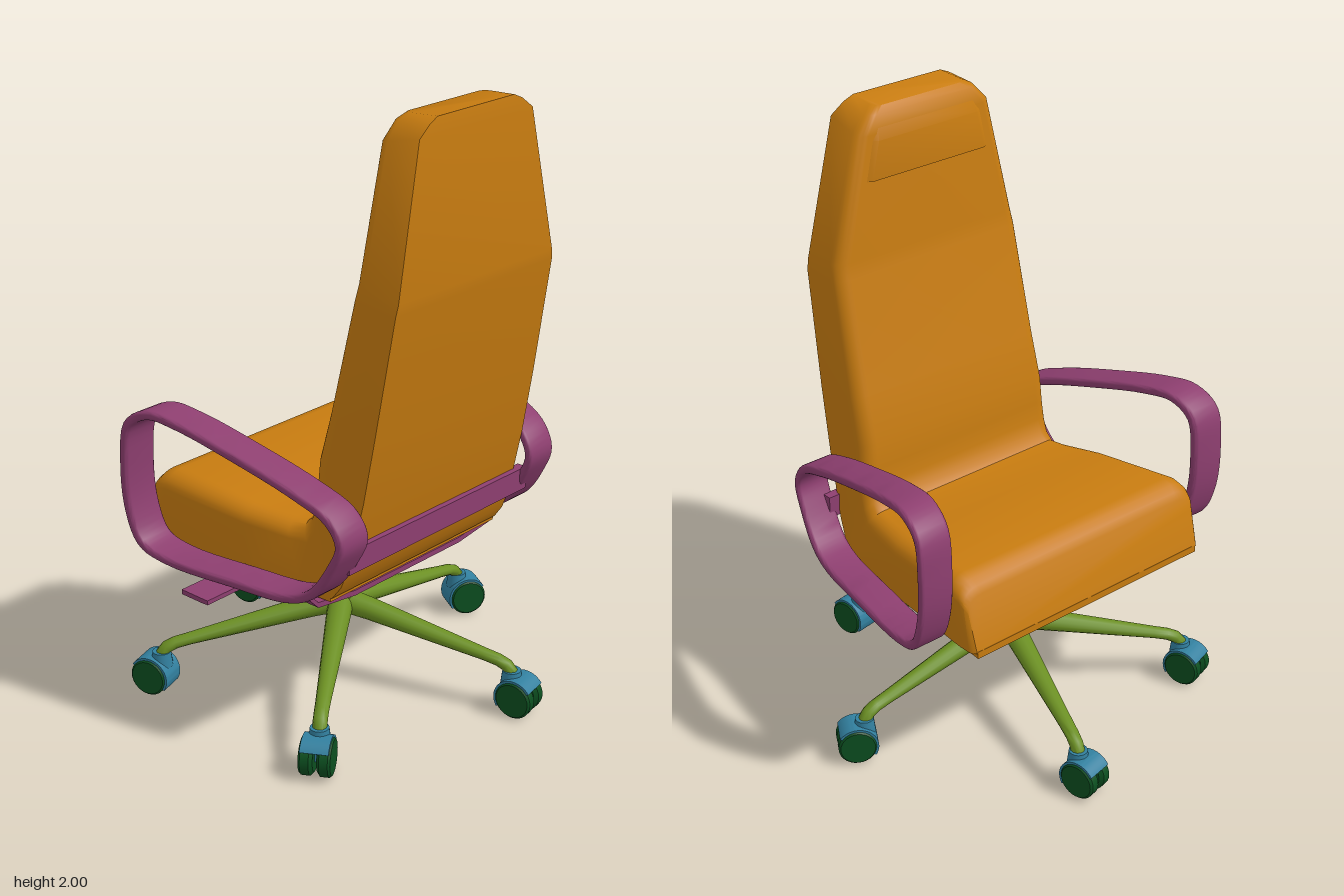
import * as THREE from 'three';
import { toCreasedNormals } from 'three/addons/utils/BufferGeometryUtils.js';

const V = (x, y, z) => new THREE.Vector3(x, y, z);
const mat = (color) => new THREE.MeshStandardMaterial({ color });
const CX = -0.028; // middle of the seat
const BX = -0.035; // middle of the base

// Closed skin over rings that run counter-clockwise about the direction of travel
function loft(rings, crease = 0.6) {
  const n = rings[0].length, pos = [], idx = [];
  rings.forEach((r) => r.forEach((p) => pos.push(p.x, p.y, p.z)));
  for (let i = 0; i < rings.length - 1; i++) {
    for (let j = 0; j < n; j++) {
      const a = i * n + j, b = i * n + ((j + 1) % n);
      idx.push(a, b, a + n, b, b + n, a + n);
    }
  }
  const e = (rings.length - 1) * n;
  for (let j = 1; j < n - 1; j++) idx.push(0, j + 1, j, e, e + j, e + j + 1);
  const g = new THREE.BufferGeometry();
  g.setAttribute('position', new THREE.Float32BufferAttribute(pos, 3));
  g.setIndex(idx);
  return toCreasedNormals(g, crease);
}

// Flat strip that follows a line in the x-y plane
function ribbon(points, thick, depth) {
  const low = points.map(([x, y]) => [x, y - thick]).reverse();
  const s = new THREE.Shape([...points, ...low].map(([x, y]) => new THREE.Vector2(x, y)));
  return new THREE.ExtrudeGeometry(s, { depth, bevelEnabled: false });
}

function shear(g, rule) {
  const p = g.attributes.position, v = V(0, 0, 0);
  for (let i = 0; i < p.count; i++) {
    rule(v.fromBufferAttribute(p, i));
    p.setXYZ(i, v.x, v.y, v.z);
  }
  g.computeVertexNormals();
  return g;
}

export function createModel() {
  const model = new THREE.Group();
  const fabric = mat(0xc87c10), purple = mat(0x8e3f70), green = mat(0x6b8f22);
  const blue = mat(0x32809f), darkGreen = mat(0x0c4f20);
  const add = (parent, name, geo, material, x = 0, y = 0, z = 0) => {
    const m = new THREE.Mesh(geo, material);
    m.name = name;
    m.position.set(x, y, z);
    parent.add(m);
    return m;
  };

  // Seat and back in one: front z, y / rear z, y / half width
  const sections = [
    [-0.372, 0.735, -0.418, 0.565, 0.468],
    [-0.358, 0.758, -0.41, 0.563, 0.476],
    [-0.338, 0.776, -0.395, 0.562, 0.48],
    [-0.3, 0.785, -0.35, 0.56, 0.48],
    [0, 0.752, 0, 0.547, 0.448],
    [0.14, 0.736, 0.2, 0.537, 0.41],
    [0.185, 0.738, 0.312, 0.53, 0.396],
    [0.208, 0.765, 0.345, 0.575, 0.391],
    [0.22, 0.81, 0.37, 0.64, 0.388],
    [0.225, 0.87, 0.394, 0.74, 0.384],
    [0.23, 0.96, 0.424, 0.87, 0.38],
    [0.27, 1.11, 0.462, 1.08, 0.375],
    [0.353, 1.475, 0.526, 1.465, 0.363],
    [0.364, 1.53, 0.53, 1.5, 0.356],
    [0.366, 1.92, 0.515, 1.95, 0.257],
    [0.376, 1.975, 0.512, 1.985, 0.21],
    [0.392, 1.994, 0.51, 2, 0.175],
  ];
  const half = [[1, 0]];
  for (let k = 0; k <= 6; k++) {
    const a = (k / 6) * Math.PI / 2;
    half.push([1 - 0.13 * (1 - Math.cos(a)), 0.75 + 0.25 * Math.sin(a)]);
  }
  const outline = [...half, ...half.map(([u, t]) => [-u, t]).reverse()];
  const shell = sections.map(([fz, fy, bz, by, w]) => outline.map(([u, t]) =>
    V(CX + u * (w - (t === 0 ? 0.005 : 0)), by + (fy - by) * t, bz + (fz - bz) * t)));
  add(model, 'seatAndBack', loft(shell, 0.75), fabric);

  // Head pad on the front of the back, fading into it at the top
  const padRow = (y, w, z) => [[w, 0.02], [w, 0], [w - 0.02, -0.012], [0.02 - w, -0.012], [-w, 0], [-w, 0.02]]
    .map(([x, d]) => V(CX + x, y, z + d));
  add(model, 'headPad', loft([padRow(1.775, 0.24, 0.368), padRow(1.9, 0.212, 0.368), padRow(1.955, 0.2, 0.388)]), fabric);

  // Rim under the seat around a shallow recess
  const rim = new THREE.Shape([[-0.46, -0.418], [0.46, -0.418], [0.39, 0.305], [-0.39, 0.305]]
    .map(([x, z]) => new THREE.Vector2(x, z)));
  rim.holes.push(new THREE.Path([[-0.24, -0.24], [-0.24, 0.2], [0.24, 0.2], [0.24, -0.24]]
    .map(([x, z]) => new THREE.Vector2(x, z))));
  const rimGeo = new THREE.ExtrudeGeometry(rim, { depth: 0.024, bevelEnabled: false }).rotateX(Math.PI / 2);
  shear(rimGeo, (v) => { v.y += 0.552 - 0.04 * v.z; });
  add(model, 'seatRim', rimGeo, fabric, CX);

  // Armrests: closed bands, splayed toward the front of the seat
  const loop = new THREE.CatmullRomCurve3([
    [0.44, 0.78], [0.4, 0.85], [0.28, 0.905], [0.05, 0.975], [-0.14, 1.022], [-0.25, 1.031], [-0.325, 0.985],
    [-0.345, 0.86], [-0.335, 0.7], [-0.29, 0.595], [-0.2, 0.562], [0.05, 0.555], [0.26, 0.562], [0.34, 0.6],
    [0.41, 0.7],
  ].map(([z, y]) => V(-z, y, 0)), true);
  const N = 72;
  const edge = (d) => Array.from({ length: N }, (_, i) => {
    const p = loop.getPoint(i / N), t = loop.getTangent(i / N);
    return new THREE.Vector2(p.x - t.y * d, p.y + t.x * d);
  });
  for (const side of [-1, 1]) {
    const band = new THREE.Shape(edge(0.005).reverse());
    band.holes.push(new THREE.Path(edge(-0.005)));
    const g = new THREE.ExtrudeGeometry(band, {
      depth: 0.096, bevelThickness: 0.012, bevelSize: 0.01, bevelSegments: 3,
    }).translate(0, 0, -0.048).rotateY(Math.PI / 2);
    shear(g, (v) => { v.x += side * (0.51 - 0.15 * v.z); });
    add(model, side < 0 ? 'rightArmrest' : 'leftArmrest', toCreasedNormals(g, 0.7), purple, CX);
  }

  // Bars joining the armrests behind and below the seat
  add(model, 'rearBar', new THREE.BoxGeometry(0.84, 0.075, 0.034), purple, CX, 0.688, 0.393);
  const under = [[-0.455, 0.555], [-0.415, 0.515], [-0.25, 0.493], [0.25, 0.493], [0.415, 0.515], [0.455, 0.555]];
  add(model, 'underBar', ribbon(under, 0.018, 0.08), purple, CX, 0, 0.2);

  // Height lever
  const lever = ribbon([[-0.53, 0.415], [-0.39, 0.415], [-0.17, 0.5], [-0.06, 0.53]], 0.015, 0.05);
  shear(lever, (v) => { v.z += -0.09 + 0.3 * (Math.max(v.x, -0.39) + 0.15); });
  add(model, 'lever', lever, purple);
  add(model, 'leverHandle', new THREE.BoxGeometry(0.14, 0.016, 0.1), purple, -0.46, 0.407, -0.178);

  // Column
  const column = [[0, 0.23], [0.05, 0.24], [0.05, 0.3], [0.068, 0.325], [0.068, 0.385], [0.06, 0.392], [0.044, 0.392],
    [0.044, 0.5], [0.07, 0.512], [0.09, 0.52], [0.09, 0.545], [0, 0.545]].map(([r, y]) => new THREE.Vector2(r, y));
  add(model, 'column', toCreasedNormals(new THREE.LatheGeometry(column, 32), 0.5), green, BX);

  // Star base: radius, height, half width, half height
  const spine = [[0, 0.272, 0.042, 0.042], [0.1, 0.257, 0.04, 0.036], [0.5, 0.181, 0.024, 0.019],
    [0.548, 0.171, 0.023, 0.019], [0.577, 0.158, 0.023, 0.02], [0.592, 0.138, 0.023, 0.021], [0.594, 0.11, 0.023, 0.021]];
  const armRings = spine.map(([r, y, w, h], i) => {
    const a = spine[Math.max(i - 1, 0)], b = spine[Math.min(i + 1, spine.length - 1)];
    const t = new THREE.Vector2(b[0] - a[0], b[1] - a[1]).normalize();
    return Array.from({ length: 12 }, (_, k) => {
      const q = (k / 12) * Math.PI * 2, n = Math.cos(q) * h;
      return V(r - t.y * n, y + t.x * n, Math.sin(q) * w);
    });
  });
  const armGeo = loft(armRings, 0.7);

  // Caster parts, rolling along +x
  const wheelGeo = toCreasedNormals(new THREE.LatheGeometry([[0, -0.022], [0.05, -0.022], [0.0625, -0.012],
    [0.0625, 0.015], [0.056, 0.022], [0, 0.022]].map(([r, y]) => new THREE.Vector2(r, y)), 28), 0.5).rotateX(Math.PI / 2);
  const hood = new THREE.Shape();
  hood.absarc(0, 0, 0.068, 0.6, 3.7, false);
  hood.absarc(0, 0, 0.05, 3.7, 0.6, true);
  const hoodGeo = toCreasedNormals(new THREE.ExtrudeGeometry(hood,
    { depth: 0.09, bevelEnabled: false, curveSegments: 16 }), 0.5).translate(0, 0, -0.045);

  const headings = [[0.85, 0.5], [0.17, 0.98], [-0.85, 0.5], [-0.3, -0.95], [-0.2, -0.97]];
  headings.forEach(([dx, dz], i) => {
    const q = (i / 5) * Math.PI * 2;
    const arm = add(model, 'baseArm', armGeo, green, BX);
    arm.rotation.y = -q;
    const caster = new THREE.Group();
    caster.name = 'caster';
    caster.position.set(BX + Math.cos(q) * 0.594, 0, Math.sin(q) * 0.594);
    caster.rotation.y = -Math.atan2(dz, dx);
    model.add(caster);
    add(caster, 'casterStem', new THREE.CylinderGeometry(0.03, 0.036, 0.05, 20), blue, 0, 0.12, 0);
    add(caster, 'casterHood', hoodGeo, blue, 0.028, 0.0625, 0);
    add(caster, 'casterAxle', new THREE.BoxGeometry(0.07, 0.06, 0.02), blue, 0.01, 0.08, 0);
    for (const s of [-1, 1]) {
      const wheel = add(caster, 'casterWheel', wheelGeo, darkGreen, 0.028, 0.0625, s * 0.028);
      if (s < 0) wheel.rotation.y = Math.PI;
    }
  });
  return model;
}
